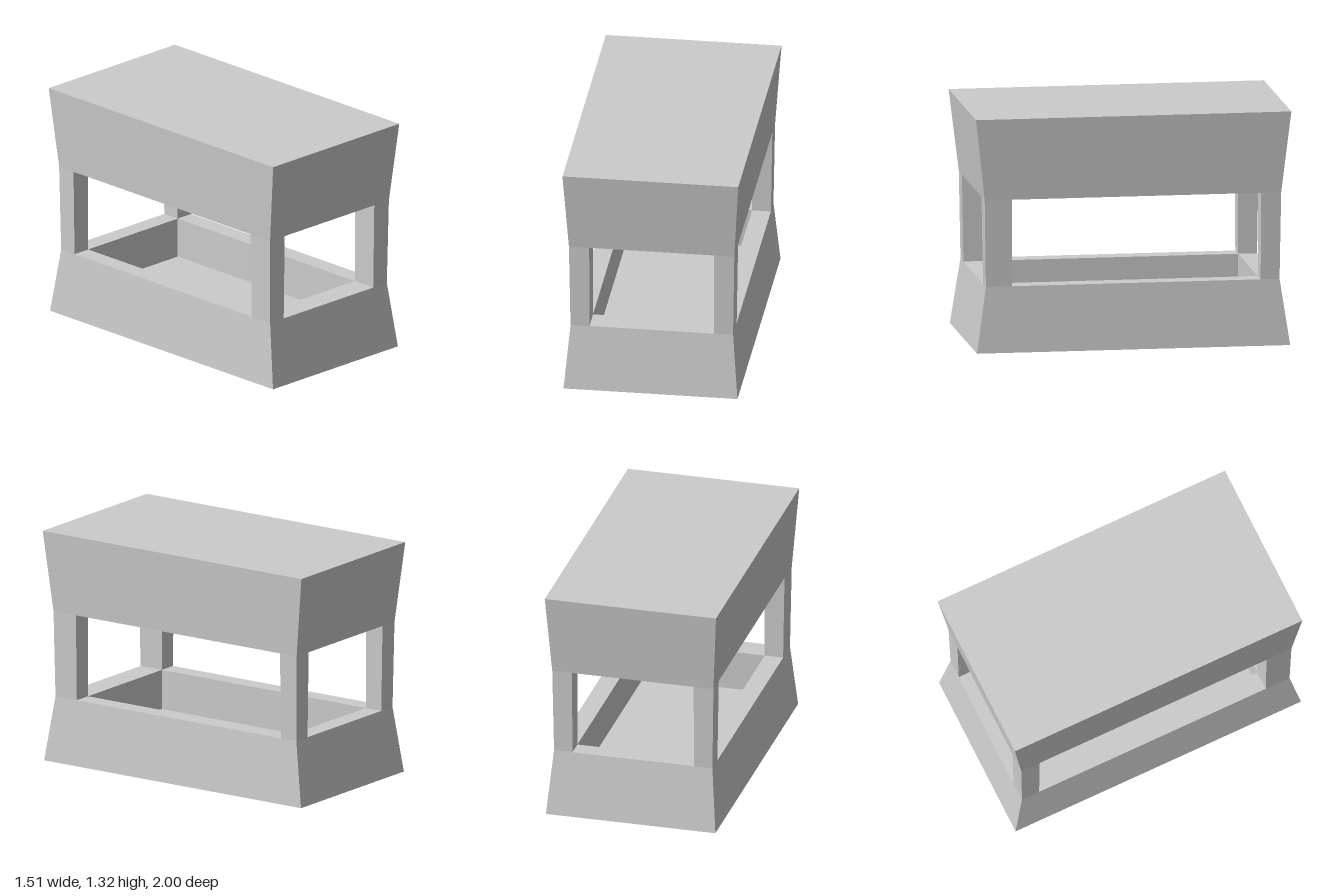
import * as THREE from 'three';

const material = new THREE.MeshStandardMaterial({ color: 0xcccccc, flatShading: true, side: THREE.DoubleSide });

// Rectangular cross-section at height y
const rect = (y, x0, x1, z0, z1) => [[x0, y, z1], [x1, y, z1], [x1, y, z0], [x0, y, z0]];
const centred = (y, hx, hz) => rect(y, -hx, hx, -hz, hz);

// Joins successive rectangles with flat sides; optional caps on the first and last
function loft(name, rings, capStart, capEnd) {
  const pos = [];
  const quad = (a, b, c, d) => pos.push(...a, ...b, ...c, ...a, ...c, ...d);
  for (let r = 0; r < rings.length - 1; r++) {
    const lo = rings[r], hi = rings[r + 1];
    for (let i = 0; i < 4; i++) {
      const j = (i + 1) % 4;
      quad(lo[i], lo[j], hi[j], hi[i]);
    }
  }
  if (capStart) quad(...[...rings[0]].reverse());
  if (capEnd) quad(...rings[rings.length - 1]);
  const geometry = new THREE.BufferGeometry();
  geometry.setAttribute('position', new THREE.Float32BufferAttribute(pos, 3));
  geometry.computeVertexNormals();
  const mesh = new THREE.Mesh(geometry, material);
  mesh.name = name;
  return mesh;
}

export function createModel() {
  const model = new THREE.Group();
  model.name = 'shelter';
  const body = new THREE.Group();
  body.name = 'body';
  body.rotation.y = 0.334;
  model.add(body);

  const sillY = 0.37, headY = 0.86;
  const sill = [0.456, 0.826], head = [0.464, 0.834];
  const inX = 0.35, inBack = -0.72, inFront = 0.68;

  // Base: sloping skirt open below, flat sill, sunken floor
  body.add(loft('base', [
    centred(0, 0.488, 0.881),
    centred(sillY, ...sill),
    rect(sillY, -inX, inX, inBack, inFront),
    rect(0.145, -inX, inX, inBack, inFront),
  ], false, true));

  // Corner posts, leaning slightly outward
  for (const sx of [-1, 1]) {
    for (const sz of [-1, 1]) {
      const section = (y, [hx, hz]) => rect(y,
        sx < 0 ? -hx : inX, sx < 0 ? -inX : hx,
        sz < 0 ? -hz : inFront, sz < 0 ? inBack : hz);
      const name = (sz > 0 ? 'front' : 'back') + (sx > 0 ? 'Left' : 'Right') + 'Post';
      body.add(loft(name, [section(sillY, sill), section(headY, head)], false, false));
    }
  }

  // Roof block, flaring to the top
  body.add(loft('roof', [centred(headY, ...head), centred(1.32, 0.493, 0.887)], true, true));

  return model;
}
